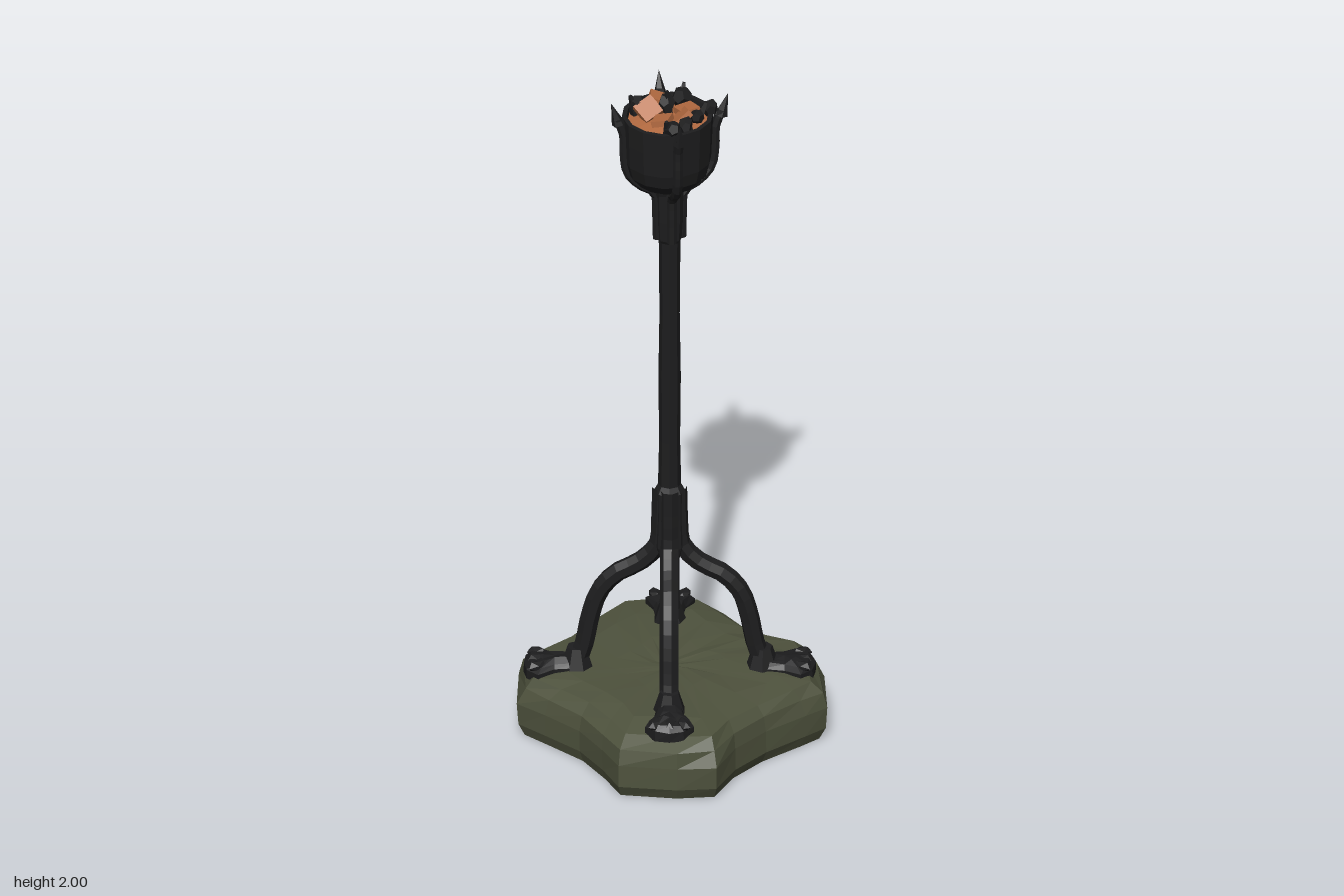
import * as THREE from 'three';

const material = (name, color) => {
  const m = new THREE.MeshStandardMaterial({ color, flatShading: true });
  m.name = name;
  return m;
};
const IRON = material('blackened iron', 0x1d1d1e);
const STONE = material('mossy stone', 0x4e523d);
const EMBER = material('ember orange', 0xb46b41);

let seed = 7;
const rand = () => {
  seed = (seed * 16807) % 2147483647;
  return seed / 2147483647 - 0.5;
};

function add(parent, name, geometry, mat, x = 0, y = 0, z = 0) {
  const mesh = new THREE.Mesh(geometry, mat);
  mesh.name = name;
  mesh.position.set(x, y, z);
  parent.add(mesh);
  return mesh;
}

// Stacks scaled copies of an [x, z] outline (clockwise from above) and caps both ends.
// Each layer is [y, scale, jitter].
function stack(outline, layers) {
  const n = outline.length, pos = [], idx = [];
  for (const [y, s, j] of layers) {
    for (const [x, z] of outline) {
      const k = s * (1 + rand() * j);
      pos.push(x * k, y + rand() * j * 0.12, z * k);
    }
  }
  const last = (layers.length - 1) * n, bottom = layers.length * n;
  pos.push(0, layers[0][0], 0, 0, layers[layers.length - 1][0], 0);
  for (let j = 0; j < n; j++) {
    const k = (j + 1) % n;
    for (let a = 0; a < last; a += n) {
      idx.push(a + j, a + n + j, a + k, a + k, a + n + j, a + n + k);
    }
    idx.push(bottom, j, k, bottom + 1, last + k, last + j);
  }
  const g = new THREE.BufferGeometry();
  g.setAttribute('position', new THREE.Float32BufferAttribute(pos, 3));
  g.setIndex(idx);
  g.computeVertexNormals();
  return g;
}

// Tube through [radius, y] points lying in the local xy plane
function rod(points, radius, segments) {
  const curve = new THREE.CatmullRomCurve3(points.map(([r, y]) => new THREE.Vector3(r, y, 0)));
  return new THREE.TubeGeometry(curve, segments, radius, 7);
}

const lathe = (points, sides) =>
  new THREE.LatheGeometry(points.map(([r, y]) => new THREE.Vector2(r, y)), sides);

export function createModel() {
  const model = new THREE.Group();
  model.name = 'standingBrazier';

  // Rough stone base
  const baseOutline = [
    [-0.345, -0.25], [-0.22, -0.37], [-0.07, -0.365], [0.08, -0.385], [0.205, -0.4],
    [0.29, -0.335], [0.37, -0.25], [0.365, -0.15], [0.35, -0.03], [0.37, 0.06],
    [0.395, 0.15], [0.365, 0.24], [0.245, 0.37], [0.17, 0.365], [0.03, 0.35],
    [-0.1, 0.36], [-0.215, 0.4], [-0.3, 0.33], [-0.4, 0.2], [-0.365, 0.1],
    [-0.335, -0.02], [-0.34, -0.15],
  ];
  add(model, 'stoneBase', stack(baseOutline, [
    [0, 0.95, 0], [0.035, 0.99, 0.01], [0.1, 0.995, 0.015], [0.145, 0.96, 0.04],
    [0.175, 0.88, 0.06], [0.186, 0.68, 0.08], [0.186, 0.35, 0.06], [0.184, 0.12, 0.04],
  ]), STONE);

  // Four arched legs with clawed feet
  const footOutline = [
    [-0.07, -0.035], [0.0, -0.045], [0.045, -0.068], [0.078, -0.04],
    [0.086, 0.0], [0.078, 0.04], [0.045, 0.068], [0.0, 0.045], [-0.07, 0.035],
  ];
  for (let i = 0; i < 4; i++) {
    const leg = new THREE.Group();
    leg.name = 'leg' + (i + 1);
    leg.rotation.y = Math.PI / 4 + i * Math.PI / 2;
    add(leg, 'legRod', rod([
      [0.022, 0.75], [0.025, 0.64], [0.032, 0.57], [0.08, 0.515], [0.15, 0.475],
      [0.195, 0.42], [0.22, 0.34], [0.235, 0.26], [0.258, 0.19],
    ], 0.027, 18), IRON);
    add(leg, 'foot', stack(footOutline, [
      [0.165, 1, 0], [0.193, 1, 0.06], [0.208, 0.8, 0.06], [0.216, 0.4, 0.1],
    ]), IRON, 0.317, 0, 0);
    add(leg, 'ankle', new THREE.CylinderGeometry(0.027, 0.046, 0.06, 7), IRON, 0.257, 0.215, 0);
    for (const z of [-0.04, 0, 0.04]) {
      const toe = add(leg, 'toe', new THREE.IcosahedronGeometry(0.024, 0), IRON, 0.365, 0.203, z);
      toe.scale.set(1.3, 0.7, 0.8);
      toe.rotation.y = -z * 8;
    }
    model.add(leg);
  }

  // Shaft with its lower and upper sleeves
  add(model, 'shaft', lathe([
    [0, 0.53], [0.035, 0.535], [0.046, 0.57], [0.042, 0.66], [0.043, 0.74], [0.032, 0.76],
    [0.029, 0.9], [0.031, 1.1], [0.028, 1.3], [0.03, 1.53], [0.036, 1.54],
    [0.04, 1.6], [0.041, 1.72],
  ], 8), IRON);

  // Fire bowl, a hollow cup with a narrow rim
  const head = new THREE.Group();
  head.name = 'fireBowl';
  head.position.z = -0.008;
  add(head, 'cup', lathe([
    [0, 1.66], [0.036, 1.665], [0.045, 1.695], [0.085, 1.718], [0.112, 1.75], [0.122, 1.79],
    [0.125, 1.86], [0.127, 1.925], [0.114, 1.925], [0.11, 1.895],
  ], 14), IRON);

  // Ribs that climb the cup and end in outward prongs
  for (let i = 0; i < 4; i++) {
    const rib = new THREE.Group();
    rib.name = 'rib' + (i + 1);
    rib.rotation.y = 0.97 + i * Math.PI / 2;
    add(rib, 'ribRod', rod([
      [0.034, 1.54], [0.036, 1.62], [0.042, 1.685], [0.085, 1.715], [0.117, 1.755],
      [0.127, 1.81], [0.129, 1.88], [0.147, 1.93],
    ], 0.014, 16), IRON);
    const prong = add(rib, 'prongTip', new THREE.ConeGeometry(0.019, 0.07, 5), IRON, 0.154, 1.945, 0);
    prong.rotation.z = -0.3;
    model.add(rib);
  }

  // Glowing bed
  add(head, 'emberBed', new THREE.ConeGeometry(0.115, 0.02, 14), EMBER, 0, 1.917, 0);

  // Charred lumps: x, y, z, size
  const lumps = [
    [-0.035, 1.94, -0.08, 0.032], [0.005, 1.955, -0.008, 0.03], [0.07, 1.945, -0.015, 0.036],
    [-0.065, 1.935, 0.085, 0.03], [-0.02, 1.935, 0.09, 0.026], [0.035, 1.935, 0.08, 0.026],
    [0.095, 1.935, 0.07, 0.028],
  ];
  for (const [x, y, z, size] of lumps) {
    const lump = add(head, 'charredLump', new THREE.DodecahedronGeometry(size, 0), IRON, x, y, z);
    lump.rotation.set(rand() * 3, rand() * 3, rand() * 3);
    lump.scale.set(1, 0.8, 0.8);
  }

  // Upright charred splinters: x, z, height, lean
  const splinters = [
    [0.005, -0.005, 0.085, 0.1], [-0.05, -0.085, 0.06, 0.35], [-0.075, 0.075, 0.055, 0.3],
    [0.075, -0.02, 0.075, -0.25], [0.06, 0.075, 0.06, -0.3], [-0.01, 0.09, 0.045, 0.1],
  ];
  for (const [x, z, h, lean] of splinters) {
    const s = add(head, 'charredSplinter', new THREE.CylinderGeometry(0.006, 0.016, h, 4), IRON, x, 1.91 + h / 2, z);
    s.rotation.set(rand() * 0.4, rand() * 3, lean);
  }

  // Broken glowing flakes leaning in the bed: x, z, size
  const flakes = [
    [-0.035, -0.04, 0.06], [0.04, 0.035, 0.055], [0.0, 0.055, 0.055],
    [0.03, -0.065, 0.05], [-0.05, 0.03, 0.05],
  ];
  flakes.forEach(([x, z, size], i) => {
    const flake = add(head, 'emberFlake', new THREE.BoxGeometry(size, size * 0.35, size), EMBER, x, 1.937, z);
    flake.rotation.set(0.5 * Math.cos(i * 2), i * 1.3, 0.5 * Math.sin(i * 2 + 1));
  });
  model.add(head);

  return model;
}
